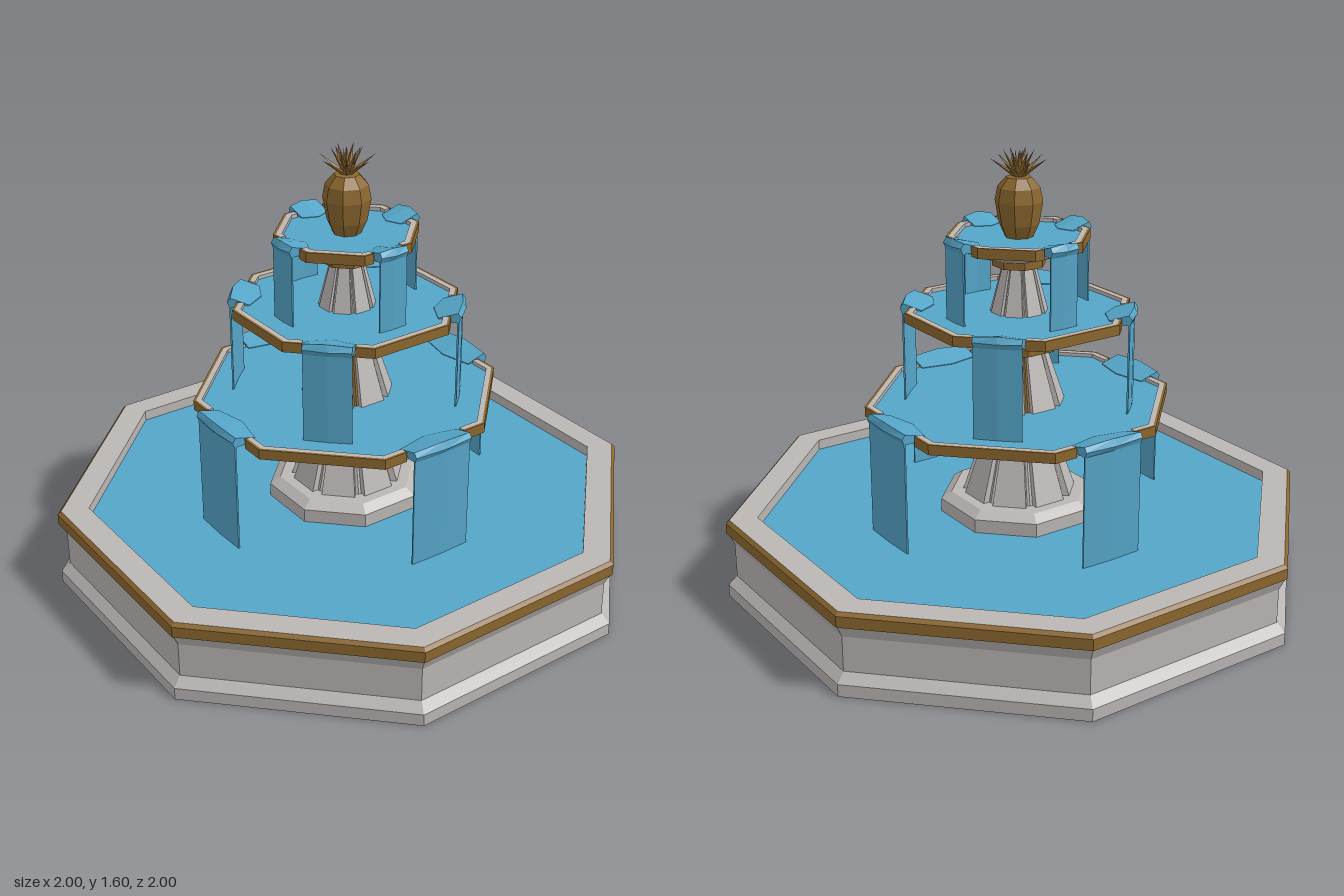
import * as THREE from 'three';

const stone = new THREE.MeshStandardMaterial({ color: 0xbab6b4, flatShading: true, side: THREE.DoubleSide });
stone.name = 'pale stone';
const gold = new THREE.MeshStandardMaterial({ color: 0x8c672e, flatShading: true, side: THREE.DoubleSide });
gold.name = 'old gold';
const water = new THREE.MeshStandardMaterial({ color: 0x55a5c8, flatShading: true, side: THREE.DoubleSide });
water.name = 'water blue';

const T = Math.tan(Math.PI / 8);
const C = Math.cos(Math.PI / 8);

function add(parent, name, geometry, material) {
  const mesh = new THREE.Mesh(geometry, material);
  mesh.name = name;
  parent.add(mesh);
  return mesh;
}

// Octagonal turning; radii are measured to the flat sides
function octagon(profile) {
  const pts = profile.map(([r, y]) => new THREE.Vector2(r / C, y));
  return new THREE.LatheGeometry(pts, 8, Math.PI / 8);
}

// Rim piece wrapping one corner pair between two spouts
function rimPiece(outer, inner, gap, y0, y1) {
  const s = new THREE.Shape([
    [gap, outer], [gap, inner], [inner * T, inner], [inner, inner * T],
    [inner, gap], [outer, gap], [outer, outer * T], [outer * T, outer],
  ].map(([x, y]) => new THREE.Vector2(x, y)));
  const g = new THREE.ExtrudeGeometry(s, { depth: y1 - y0, bevelEnabled: false });
  return g.rotateX(-Math.PI / 2).translate(0, y0, 0);
}

// Spout crest and falling sheet, bowed along the middle
function fallGeometry({ a, out, half, top, bottom }) {
  const r = out, lip = top - 0.045;
  const s = new THREE.Shape([
    [a - 0.045, lip], [r - 0.006, lip], [r - 0.006, bottom], [r, bottom], [r, lip],
    [r + 0.008, top - 0.025], [r - 0.004, top - 0.008], [a - 0.045, top - 0.03],
  ].map(([x, y]) => new THREE.Vector2(x, y)));
  const g = new THREE.ExtrudeGeometry(s, { depth: 2 * half, steps: 2, bevelEnabled: false });
  g.translate(0, 0, -half);
  const p = g.attributes.position;
  for (let i = 0; i < p.count; i++) {
    if (Math.abs(p.getZ(i)) > 1e-4) continue;
    const x = p.getX(i), y = p.getY(i);
    if (x < a - 0.02) p.setX(i, x - 0.025);
    else p.setX(i, x + (y > lip + 0.001 ? 0.009 : 0.004));
    if (y > top - 0.015) p.setY(i, y + 0.008);
  }
  g.computeVertexNormals();
  return g;
}

// Tapered column with a rib on every side
function column(parent, { y0, y1, r0, r1, core }) {
  const group = new THREE.Group();
  group.name = 'column';
  parent.add(group);
  add(group, 'columnCore', octagon([[r0 * 0.88, y0], [r1 * 0.88, y1]]), core);
  for (let k = 0; k < 8; k++) {
    const g = new THREE.BoxGeometry(1, y1 - y0, 1);
    const p = g.attributes.position;
    for (let i = 0; i < p.count; i++) {
      const r = p.getY(i) < 0 ? r0 : r1;
      p.setX(i, p.getX(i) * r * 0.62);
      p.setZ(i, p.getZ(i) > 0 ? r : r * 0.8);
    }
    g.translate(0, (y0 + y1) / 2, 0).rotateY(k * Math.PI / 4);
    add(group, 'columnRib', g, stone);
  }
}

function tier(parent, t) {
  const group = new THREE.Group();
  group.name = t.name;
  parent.add(group);
  column(group, t.column);
  const { a, neck, neckY, rimY, rimTop } = t;
  add(group, 'neckBand', octagon([[0, neckY], [neck, neckY], [neck, neckY + 0.027], [0, neckY + 0.027]]), gold);
  add(group, 'bowl', octagon([[neck * 0.95, neckY + 0.025], [a - 0.01, rimY], [a - 0.01, rimY + 0.006], [0, rimY + 0.006]]), stone);
  add(group, 'bowlWater', octagon([[a - 0.02, rimTop - 0.014], [0, rimTop - 0.014]]), water);
  const gap = t.fall.half + 0.006;
  for (let k = 0; k < 4; k++) {
    const turn = t.turn + k * Math.PI / 2;
    add(group, 'rimTrim', rimPiece(a, a - 0.009, gap, rimY, rimTop), gold).rotation.y = turn;
    add(group, 'rimStone', rimPiece(a - 0.009, a - 0.028, gap, rimY + 0.004, rimTop), stone).rotation.y = turn;
    add(group, 'waterfall', fallGeometry({ a, ...t.fall }), water).rotation.y = turn;
  }
}

function finial(parent) {
  const group = new THREE.Group();
  group.name = 'fruitFinial';
  parent.add(group);
  const body = [[0.045, 1.28], [0.072, 1.34], [0.086, 1.42], [0.076, 1.47], [0.045, 1.505], [0, 1.51]];
  add(group, 'fruitBody', new THREE.LatheGeometry(body.map(([r, y]) => new THREE.Vector2(r, y)), 8), gold);
  // Crown leaves in three rings: count, length, tilt
  [[7, 0.125, 0.95], [6, 0.115, 0.5], [3, 0.1, 0.15]].forEach(([n, len, tilt], ring) => {
    for (let k = 0; k < n; k++) {
      const g = new THREE.ConeGeometry(0.019, len, 4);
      g.scale(1, 1, 0.5).translate(0, len / 2, 0).rotateX(tilt);
      g.translate(0, 1.5, 0).rotateY((k + ring * 0.5) * 2 * Math.PI / n);
      add(group, 'crownLeaf', g, gold);
    }
  });
}

export function createModel() {
  const model = new THREE.Group();
  model.name = 'tieredFountain';

  // Ground basin
  add(model, 'basinWall', octagon([[0, 0], [1, 0], [1, 0.045], [0.97, 0.078], [0.97, 0.205], [0.99, 0.25]]), stone);
  add(model, 'basinTrim', octagon([[0.98, 0.25], [0.995, 0.25], [0.995, 0.29], [0.983, 0.302]]), gold);
  add(model, 'basinRim', octagon([[0.983, 0.302], [0.89, 0.302], [0.89, 0.24]]), stone);
  add(model, 'basinWater', octagon([[0.895, 0.262], [0, 0.262]]), water);
  add(model, 'pedestalBase', octagon([[0.27, 0.24], [0.27, 0.312], [0.235, 0.337], [0, 0.337]]), stone);

  // Three bowls, spouts turned by an eighth on the middle one
  tier(model, {
    name: 'lowerTier', a: 0.52, neck: 0.17, neckY: 0.52, rimY: 0.66, rimTop: 0.697, turn: 0,
    column: { y0: 0.33, y1: 0.53, r0: 0.2, r1: 0.135, core: stone },
    fall: { out: 0.557, half: 0.12, top: 0.716, bottom: 0.262 },
  });
  tier(model, {
    name: 'middleTier', a: 0.38, neck: 0.135, neckY: 0.89, rimY: 1.0, rimTop: 1.037, turn: Math.PI / 4,
    column: { y0: 0.68, y1: 0.9, r0: 0.16, r1: 0.09, core: gold },
    fall: { out: 0.408, half: 0.085, top: 1.056, bottom: 0.683 },
  });
  tier(model, {
    name: 'upperTier', a: 0.24, neck: 0.09, neckY: 1.192, rimY: 1.27, rimTop: 1.307, turn: 0,
    column: { y0: 1.02, y1: 1.2, r0: 0.1, r1: 0.055, core: stone },
    fall: { out: 0.27, half: 0.056, top: 1.325, bottom: 1.023 },
  });

  finial(model);
  return model;
}
